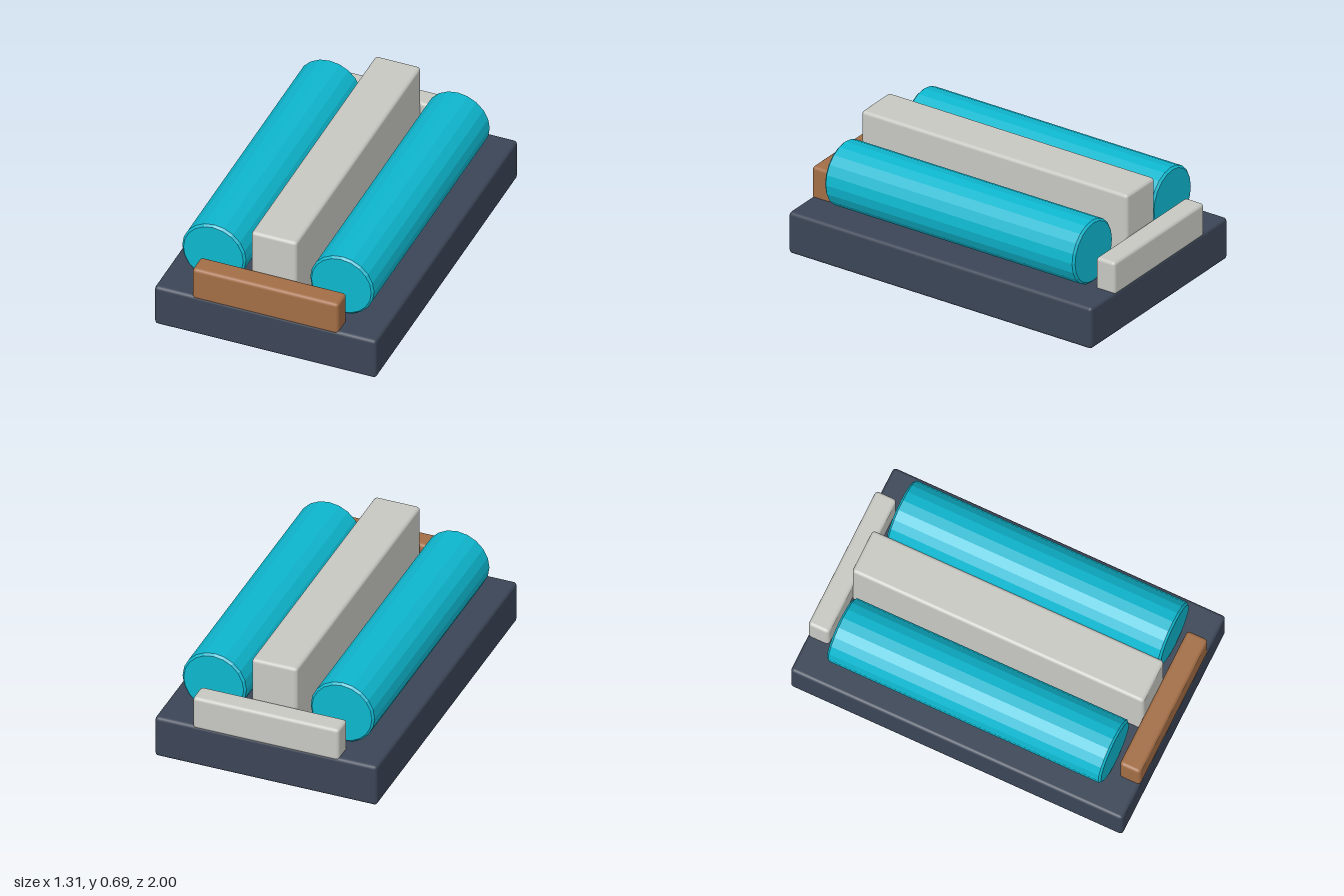
import * as THREE from 'three';
import { RoundedBoxGeometry } from 'three/addons/geometries/RoundedBoxGeometry.js';

const paint = (name, color, flatShading = false) => {
  const m = new THREE.MeshStandardMaterial({ color, flatShading });
  m.name = name;
  return m;
};

export function createModel() {
  const group = new THREE.Group();
  const slate = paint('slate', 0x3b4556);
  const grey = paint('light grey', 0xc7c7c2);
  const copper = paint('copper', 0xa26d45);
  const cyan = paint('cyan', 0x0eb6ce, true);

  const add = (name, geometry, material, x, y, z) => {
    const mesh = new THREE.Mesh(geometry, material);
    mesh.name = name;
    mesh.position.set(x, y, z);
    group.add(mesh);
  };

  // Box with softened edges, placed by its lower and upper height
  const block = (name, material, width, y0, y1, depth, z = 0) =>
    add(name, new RoundedBoxGeometry(width, y1 - y0, depth, 2, 0.02), material, 0, (y0 + y1) / 2, z);

  block('base', slate, 1.306, 0, 0.252, 2);
  block('centreBeam', grey, 0.268, 0.235, 0.685, 1.756);
  block('frontBar', copper, 0.86, 0.235, 0.436, 0.125, 0.9375);
  block('backBar', grey, 0.86, 0.235, 0.436, 0.125, -0.9375);

  // Faceted rollers with a narrow bevel at each end
  const r = 0.188, h = 0.825, b = 0.012;
  const profile = [[0, -h], [r - b, -h], [r, -h + b], [r, h - b], [r - b, h], [0, h]]
    .map(([x, y]) => new THREE.Vector2(x, y));
  const roller = new THREE.LatheGeometry(profile, 20).rotateX(Math.PI / 2);
  for (const side of [1, -1]) {
    add(side > 0 ? 'leftRoller' : 'rightRoller', roller, cyan, side * 0.377, 0.433, 0);
  }
  return group;
}
